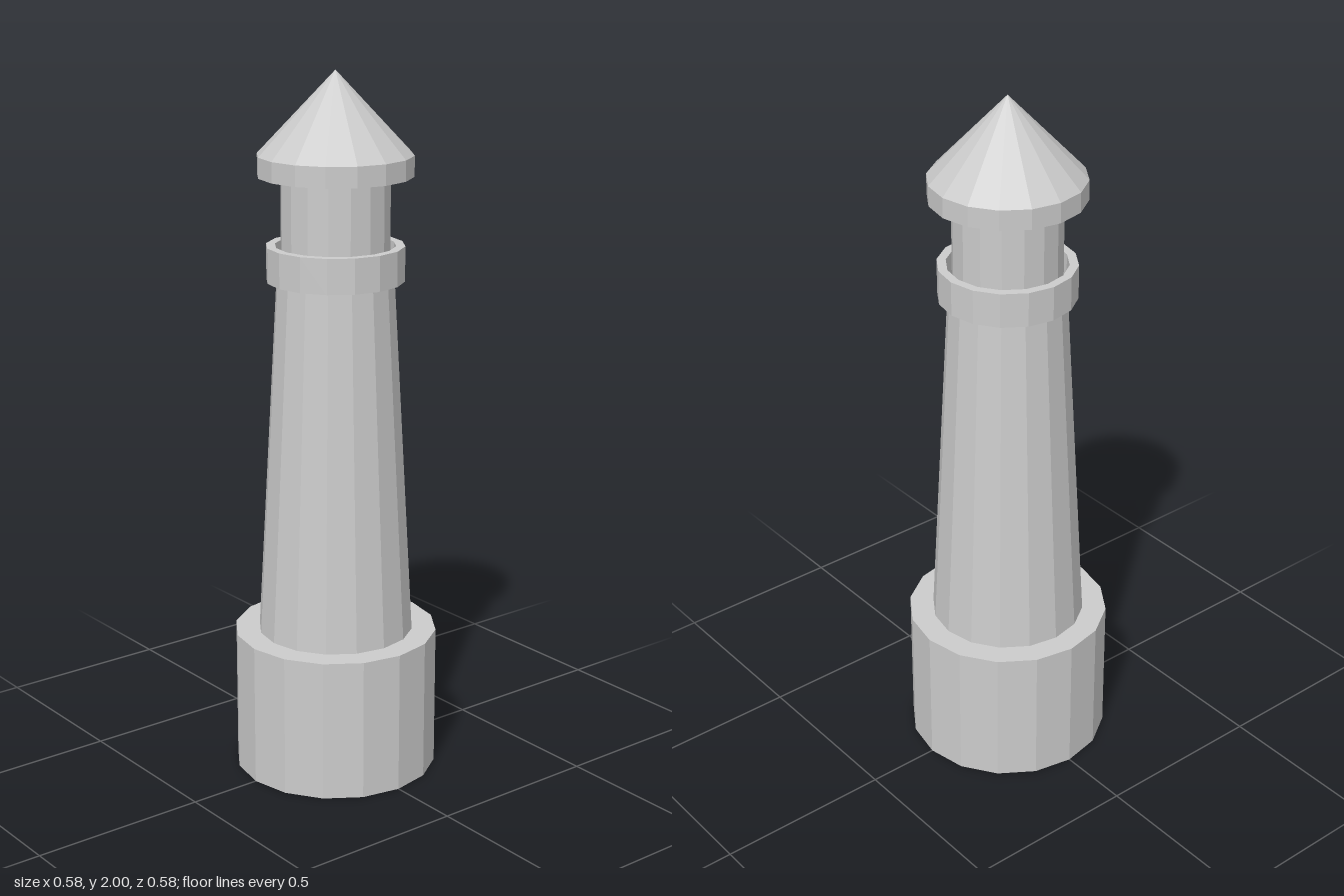
import * as THREE from 'three';

const SIDES = 16;

export function createModel() {
  const tower = new THREE.Group();
  tower.name = 'lighthouse';
  const material = new THREE.MeshStandardMaterial({ color: 0xcccccc, flatShading: true });

  const add = (name, geometry, y = 0) => {
    const mesh = new THREE.Mesh(geometry, material);
    mesh.name = name;
    mesh.position.y = y;
    tower.add(mesh);
  };
  // Faceted drum between two heights
  const drum = (name, bottomRadius, topRadius, y0, y1) =>
    add(name, new THREE.CylinderGeometry(topRadius, bottomRadius, y1 - y0, SIDES), (y0 + y1) / 2);

  drum('base', 0.29, 0.29, 0, 0.408);
  drum('shaft', 0.221, 0.164, 0.408, 1.427);
  drum('lantern', 0.151, 0.151, 1.427, 1.716);

  // Gallery parapet: an open ring around the lantern
  const ring = [[0.192, 1.427], [0.192, 1.525], [0.167, 1.525], [0.167, 1.427], [0.192, 1.427]];
  add('galleryParapet', new THREE.LatheGeometry(ring.map(([r, y]) => new THREE.Vector2(r, y)), SIDES));

  // Roof: upright eave under a pointed cone
  drum('roofEave', 0.215, 0.215, 1.716, 1.773);
  add('roofCone', new THREE.ConeGeometry(0.215, 0.227, SIDES, 1, true), 1.773 + 0.227 / 2);

  return tower;
}
